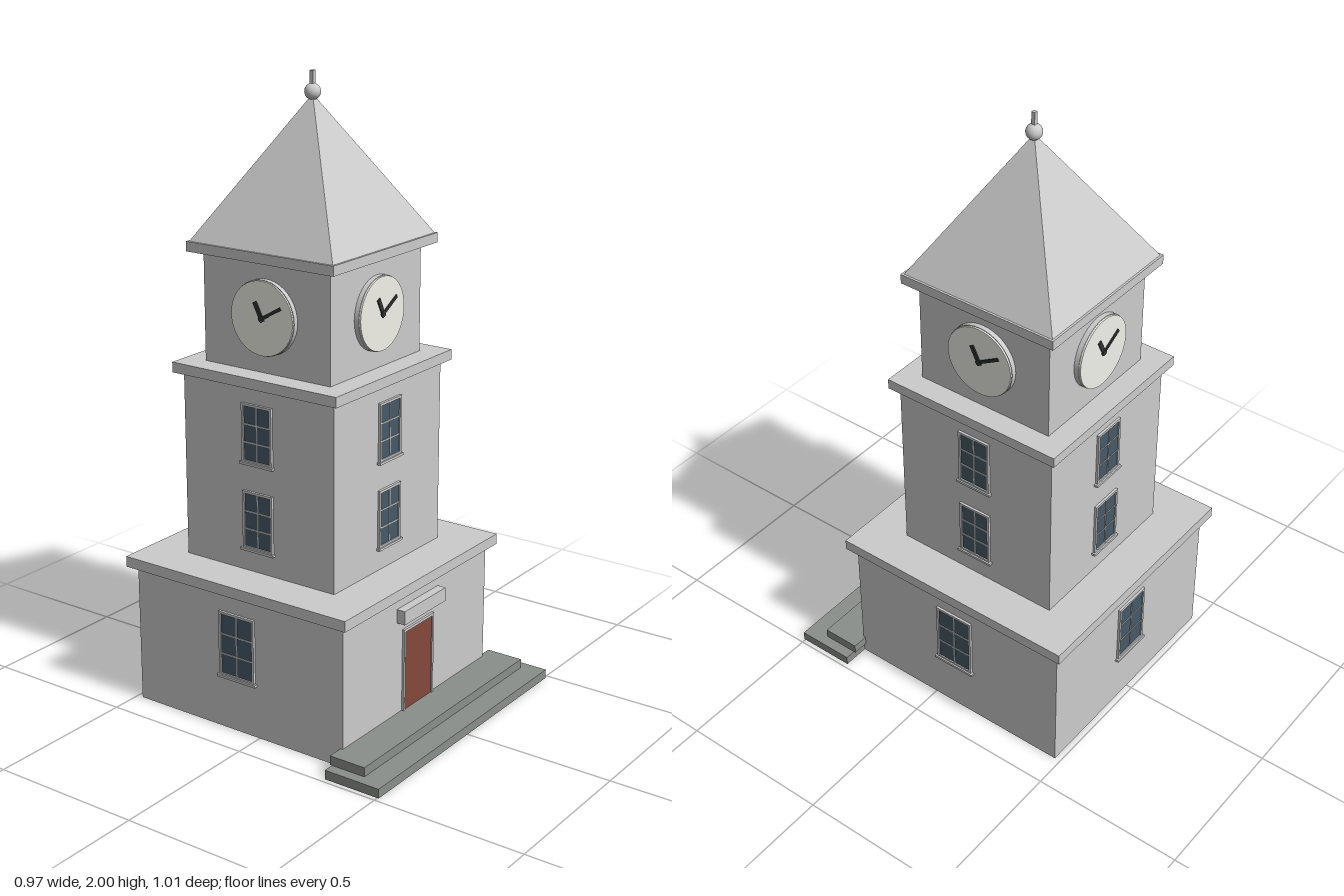
import * as THREE from 'three';

const mat = (color, flatShading = false) => new THREE.MeshStandardMaterial({ color, flatShading });
const stone = mat(0xcccccc);
const facet = mat(0xcccccc, true);
const stepStone = mat(0x8b8f8b);
const glass = mat(0x465a68);
const doorRed = mat(0x85483c);
const dialWhite = mat(0xf2f2ea);
const darkMetal = mat(0x303234);

function add(parent, name, geometry, material, x = 0, y = 0, z = 0) {
  const mesh = new THREE.Mesh(geometry, material);
  mesh.name = name;
  mesh.position.set(x, y, z);
  parent.add(mesh);
  return mesh;
}

// Box given by width, bottom, top and z range
function block(parent, name, w, y0, y1, z0, z1, material = stone, x = 0) {
  return add(parent, name, new THREE.BoxGeometry(w, y1 - y0, z1 - z0), material, x, (y0 + y1) / 2, (z0 + z1) / 2);
}

// Square storey centred on the tower axis
const storey = (parent, name, half, y0, y1) => block(parent, name, half * 2, y0, y1, -half, half);

// Window with frame, panes, glazing bars and sill; wall plane at z = 0
function makeWindow(w, h) {
  const g = new THREE.Group();
  g.name = 'window';
  const t = 0.008;
  const rect = (s, a, b) => s.moveTo(-a, -b).lineTo(a, -b).lineTo(a, b).lineTo(-a, b).closePath();
  const shape = rect(new THREE.Shape(), w / 2, h / 2);
  shape.holes.push(rect(new THREE.Path(), w / 2 - t, h / 2 - t));
  add(g, 'windowFrame', new THREE.ExtrudeGeometry(shape, { depth: 0.008, bevelEnabled: false }), stone);
  block(g, 'windowPane', w - t, -h / 2 + t / 2, h / 2 - t / 2, 0, 0.004, glass);
  block(g, 'verticalBar', 0.004, -h / 2 + t, h / 2 - t, 0, 0.006);
  for (const s of [-1, 1]) {
    const y = s * (h - 2 * t) / 6;
    block(g, 'horizontalBar', w - 2 * t, y - 0.002, y + 0.002, 0, 0.006);
  }
  block(g, 'windowSill', w + 0.012, -h / 2 - 0.006, -h / 2 + 0.002, 0, 0.013);
  return g;
}

// Clock dial with rim and two hands; wall plane at z = 0
function makeClock() {
  const g = new THREE.Group();
  g.name = 'clock';
  add(g, 'clockRim', new THREE.CylinderGeometry(0.117, 0.117, 0.016, 40), stone, 0, 0, 0.008).rotation.x = Math.PI / 2;
  add(g, 'clockDial', new THREE.CylinderGeometry(0.115, 0.115, 0.022, 40), dialWhite, 0, 0, 0.011).rotation.x = Math.PI / 2;
  const hand = (name, length, width, angle) => {
    const geo = new THREE.BoxGeometry(width, length + 0.01, 0.004).translate(0, length / 2 - 0.005, 0);
    add(g, name, geo, darkMetal, 0, 0, 0.024).rotation.z = angle;
  };
  hand('hourHand', 0.055, 0.014, 0.47);
  hand('minuteHand', 0.082, 0.01, -1.05);
  add(g, 'handHub', new THREE.CylinderGeometry(0.01, 0.01, 0.006, 16), darkMetal, 0, 0, 0.024).rotation.x = Math.PI / 2;
  return g;
}

export function createModel() {
  const model = new THREE.Group();
  model.name = 'clockTower';

  // Stacked storeys with cornices, on the tower's own axis
  const tower = new THREE.Group();
  tower.name = 'tower';
  tower.position.z = -0.083;
  model.add(tower);
  storey(tower, 'baseStorey', 0.397, 0, 0.457);
  storey(tower, 'baseCornice', 0.423, 0.457, 0.492);
  storey(tower, 'middleStorey', 0.284, 0.492, 1.089);
  storey(tower, 'middleCornice', 0.309, 1.089, 1.122);
  storey(tower, 'clockStorey', 0.236, 1.122, 1.466);
  storey(tower, 'clockCornice', 0.273, 1.466, 1.497);

  // Pyramid roof and finial
  const roof = new THREE.ConeGeometry(0.266 * Math.SQRT2, 0.433, 4).rotateY(Math.PI / 4);
  add(tower, 'roof', roof, facet, 0, 1.497 + 0.433 / 2, 0);
  add(tower, 'finialBall', new THREE.SphereGeometry(0.025, 24, 16), stone, 0, 1.937, 0);
  block(tower, 'finialRod', 0.012, 1.94, 2, -0.006, 0.006);

  // Windows and a clock on each side
  for (let i = 0; i < 4; i++) {
    const side = new THREE.Group();
    side.name = ['frontSide', 'leftSide', 'backSide', 'rightSide'][i];
    side.rotation.y = i * Math.PI / 2;
    tower.add(side);
    const place = (part, y, z) => {
      part.position.set(0, y, z);
      side.add(part);
    };
    for (const y of [0.66, 0.94]) place(makeWindow(0.114, 0.188), y, 0.284);
    if (i > 0) place(makeWindow(0.136, 0.214), 0.285, 0.397);
    place(makeClock(), 1.296, 0.236);
  }

  // Entrance: door in its frame under a small canopy
  const entrance = new THREE.Group();
  entrance.name = 'entrance';
  model.add(entrance);
  block(entrance, 'door', 0.15, 0.06, 0.325, 0.31, 0.318, doorRed);
  for (const s of [-1, 1]) block(entrance, 'doorJamb', 0.008, 0.06, 0.325, 0.31, 0.322, stone, s * 0.079);
  block(entrance, 'doorHead', 0.166, 0.325, 0.334, 0.31, 0.322);
  block(entrance, 'doorCanopy', 0.228, 0.367, 0.412, 0.31, 0.343);

  // Two broad front steps
  block(model, 'lowerStep', 0.97, 0, 0.03, 0.312, 0.505, stepStone);
  block(model, 'upperStep', 0.9, 0.03, 0.06, 0.305, 0.43, stepStone);
  return model;
}
